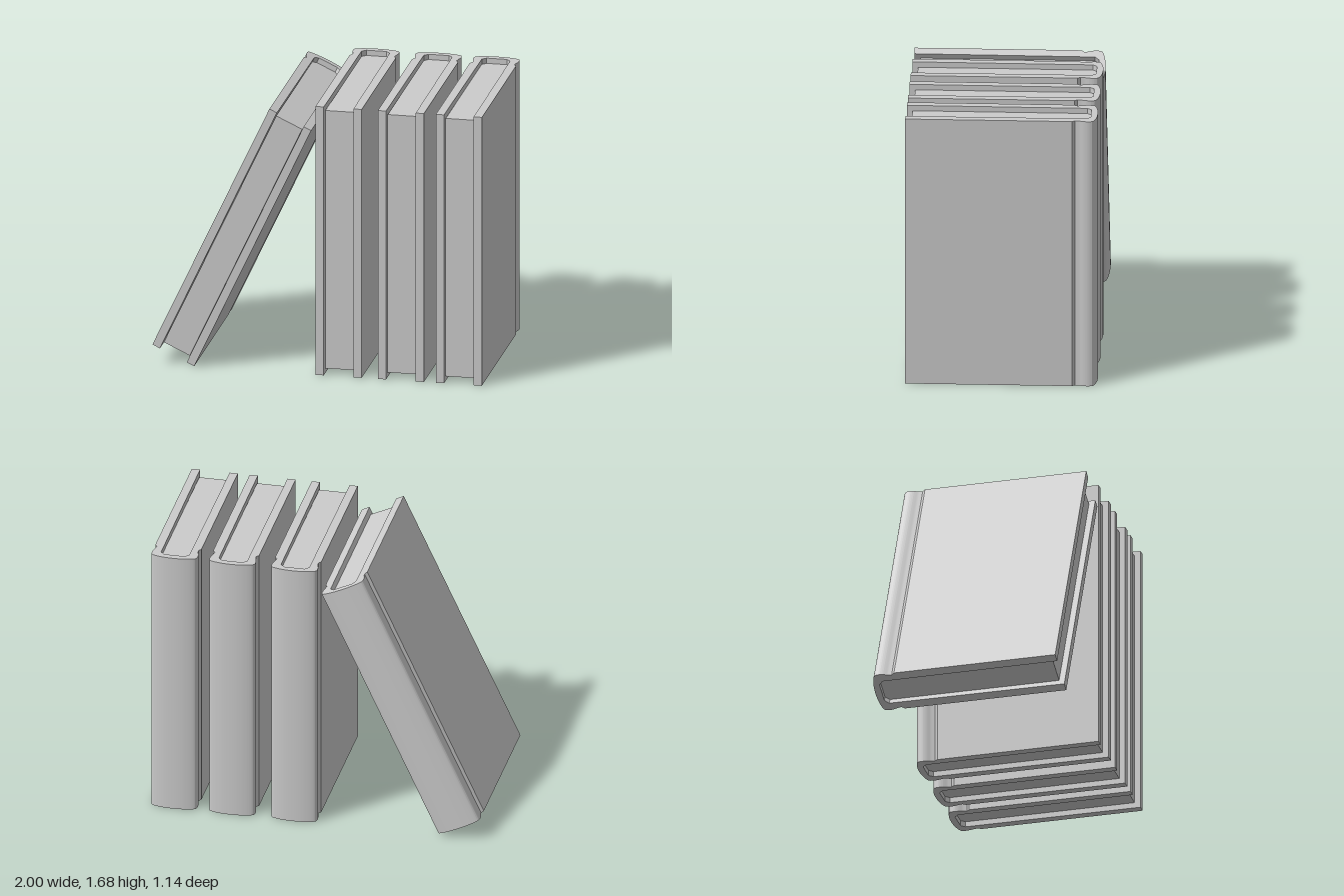
import * as THREE from 'three';
import { toCreasedNormals } from 'three/addons/utils/BufferGeometryUtils.js';

const HEIGHT = 1.68, HALF = 0.14, FRONT = -0.57; // plan is drawn with y = -z
const material = new THREE.MeshStandardMaterial({ color: 0xcccccc });

// Extrudes a plan shape upwards from y0 to y1
function extrudeUp(shape, y0, y1) {
  const g = new THREE.ExtrudeGeometry(shape, { depth: y1 - y0, bevelEnabled: false, curveSegments: 28 });
  g.rotateX(-Math.PI / 2);
  g.translate(0, y0, 0);
  return toCreasedNormals(g, 0.5);
}

// Hard cover: two boards, hinge grooves and a rounded spine in one wrap
function coverShape() {
  const half = [[0.126, 0.44], [0.13, 0.465], [0.138, 0.495], [0.139, 0.525], [0.127, 0.549], [0.07, 0.565]];
  const spine = [...half, [0, 0.57], ...half.map(([x, y]) => [-x, y]).reverse()];
  const s = new THREE.Shape();
  s.moveTo(0.09, FRONT);
  s.lineTo(HALF, FRONT);
  s.lineTo(HALF, 0.422);
  s.lineTo(...spine[0]);
  s.splineThru(spine.slice(1).map(p => new THREE.Vector2(...p)));
  s.lineTo(-HALF, 0.422);
  s.lineTo(-HALF, FRONT);
  s.lineTo(-0.09, FRONT);
  s.lineTo(-0.086, 0.505);
  s.lineTo(-0.062, 0.53);
  s.lineTo(0.062, 0.53);
  s.lineTo(0.086, 0.505);
  s.closePath();
  return s;
}

// Page block, set back from the cover edges
function pagesShape() {
  const pts = [[0.087, -0.535], [0.086, 0.505], [0.062, 0.53], [-0.062, 0.53], [-0.086, 0.505], [-0.087, -0.535]];
  return new THREE.Shape(pts.map(p => new THREE.Vector2(...p)));
}

export function createModel() {
  const model = new THREE.Group();
  model.name = 'bookRow';
  const coverGeometry = extrudeUp(coverShape(), 0, HEIGHT);
  const pagesGeometry = extrudeUp(pagesShape(), 0.033, HEIGHT - 0.033);

  function addBook(name, x, y = 0, lean = 0) {
    const book = new THREE.Group();
    book.name = name;
    const cover = new THREE.Mesh(coverGeometry, material);
    cover.name = 'cover';
    const pages = new THREE.Mesh(pagesGeometry, material);
    pages.name = 'pages';
    book.add(cover, pages);
    book.position.set(x, y, 0);
    book.rotation.z = -lean;
    model.add(book);
  }

  // Three upright books
  [0.13, 0.508, 0.86].forEach((x, i) => addBook(`uprightBook${i + 1}`, x));

  // One book leaning towards the row, resting on its lower edge
  const lean = THREE.MathUtils.degToRad(25);
  addBook('leaningBook', -1 + HALF * Math.cos(lean), HALF * Math.sin(lean) + 0.004, lean);
  return model;
}
